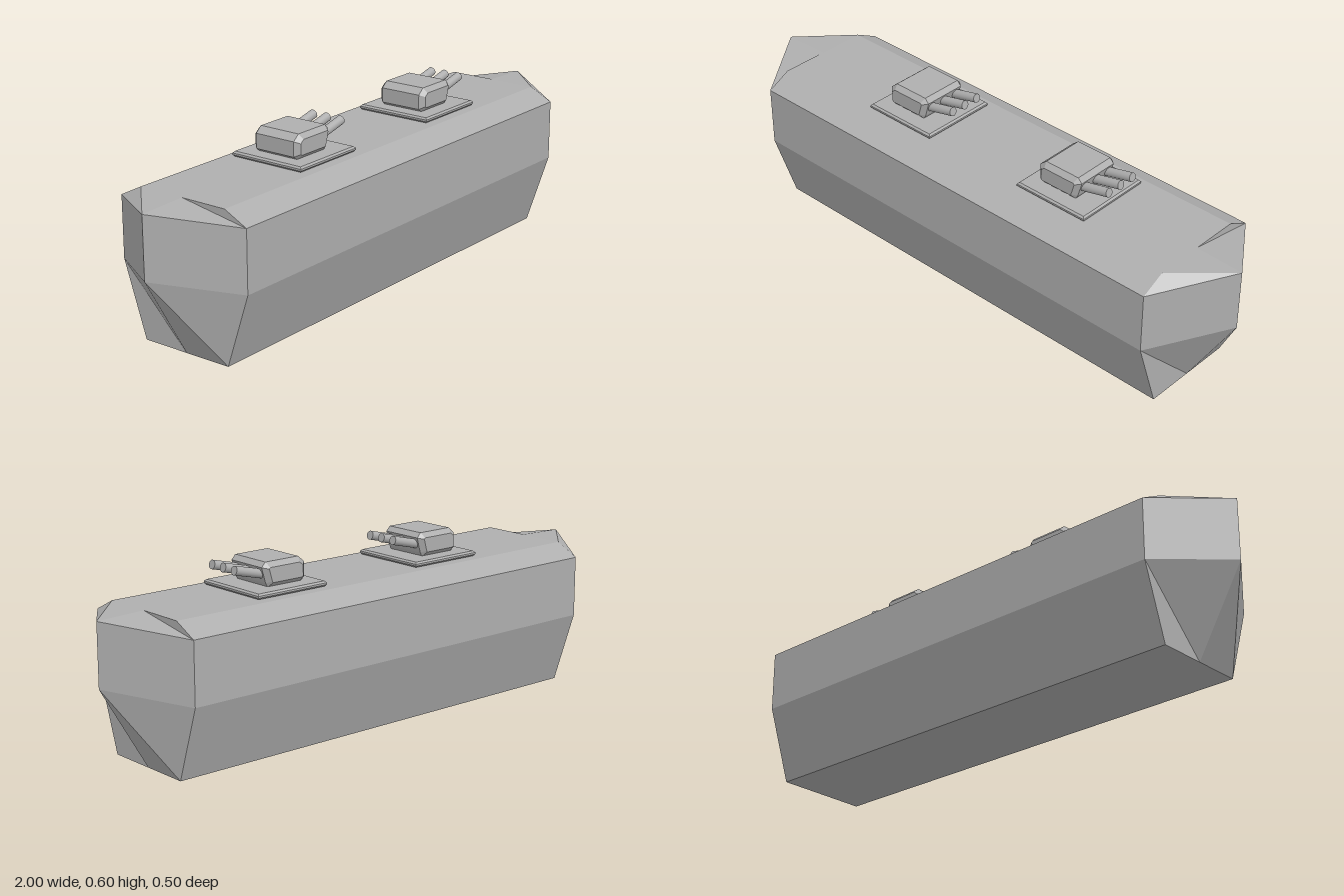
import * as THREE from 'three';

const mat = new THREE.MeshStandardMaterial({ color: 0xaeaeae, flatShading: true });
const smooth = new THREE.MeshStandardMaterial({ color: 0xaeaeae });

function add(parent, name, geometry, material = mat) {
  const mesh = new THREE.Mesh(geometry, material);
  mesh.name = name;
  parent.add(mesh);
  return mesh;
}

// Extrudes an outline to a depth centred on z = 0, chamfered inside the outline
function chamfered(points, depth, bevel) {
  const shape = new THREE.Shape(points.map(([x, y]) => new THREE.Vector2(x, y)));
  return new THREE.ExtrudeGeometry(shape, {
    depth: depth - 2 * bevel, bevelEnabled: true, bevelThickness: bevel,
    bevelSize: bevel, bevelOffset: -bevel, bevelSegments: 1,
  }).translate(0, 0, bevel - depth / 2);
}

// Convex corner loops become triangle fans
function fromFaces(faces) {
  const pos = [];
  for (const f of faces)
    for (let i = 1; i < f.length - 1; i++) pos.push(...f[0], ...f[i], ...f[i + 1]);
  const g = new THREE.BufferGeometry();
  g.setAttribute('position', new THREE.Float32BufferAttribute(pos, 3));
  g.computeVertexNormals();
  return g;
}

const X = 0.83; // half length of the straight hull
const section = [[0, 0], [-0.167, 0], [-0.25, 0.25], [-0.25, 0.458], [-0.167, 0.5],
  [0, 0.5], [0.167, 0.5], [0.25, 0.458], [0.25, 0.25], [0.167, 0]]; // z, y

function hullSides() {
  return fromFaces(section.map(([z, y], i) => {
    const [z2, y2] = section[(i + 1) % section.length];
    return [[-X, y, z], [-X, y2, z2], [X, y2, z2], [X, y, z]];
  }));
}

// Pointed end, with small upright facets at opposite corners
function hullEnd() {
  const [keel, keelR, bilgeR, railR, deckR, deck, deckL, railL, bilgeL, keelL] =
    section.map(([z, y]) => [X, y, z]);
  const low = [1, 0.285, 0], high = [1, 0.495, 0];
  return fromFaces([
    [low, bilgeR, railR, high], [low, high, railL, bilgeL],
    [low, keelR, bilgeR], [low, keel, keelR],
    [low, bilgeL, keel], [bilgeL, keelL, keel],
    [high, deckL, railL], [high, deck, deckL],
    [high, railR, deck], [railR, deckR, deck],
  ]);
}

function createTurret() {
  const turret = new THREE.Group();
  turret.name = 'gunTurret';

  const h = 0.139;
  const plate = chamfered([[-h, -h], [h, -h], [h, h], [-h, h]], 0.018, 0.006);
  add(turret, 'turretBase', plate.rotateX(-Math.PI / 2).translate(0, 0.511, 0));

  // Housing, with a raked front
  add(turret, 'turretHousing', chamfered([
    [-0.08, 0.518], [0.052, 0.518], [0.06, 0.532], [0.075, 0.584],
    [0.06, 0.6], [-0.072, 0.6], [-0.096, 0.58], [-0.096, 0.53],
  ], 0.184, 0.016));

  // Three raised barrels
  const start = new THREE.Vector3(0.045, 0.556, 0), tip = new THREE.Vector3(0.168, 0.586, 0);
  for (const z of [-0.056, 0, 0.056]) {
    const barrel = add(turret, 'gunBarrel',
      new THREE.CylinderGeometry(0.015, 0.015, start.distanceTo(tip), 20), smooth);
    barrel.position.copy(start).lerp(tip, 0.5).setZ(z);
    barrel.rotation.z = Math.atan2(tip.y - start.y, tip.x - start.x) - Math.PI / 2;
  }
  return turret;
}

export function createModel() {
  const ship = new THREE.Group();
  ship.name = 'ship';

  add(ship, 'hull', hullSides());
  add(ship, 'bow', hullEnd());
  add(ship, 'stern', hullEnd().rotateY(Math.PI));

  for (const x of [-0.305, 0.36]) {
    const turret = createTurret();
    turret.position.x = x;
    ship.add(turret);
  }
  return ship;
}
